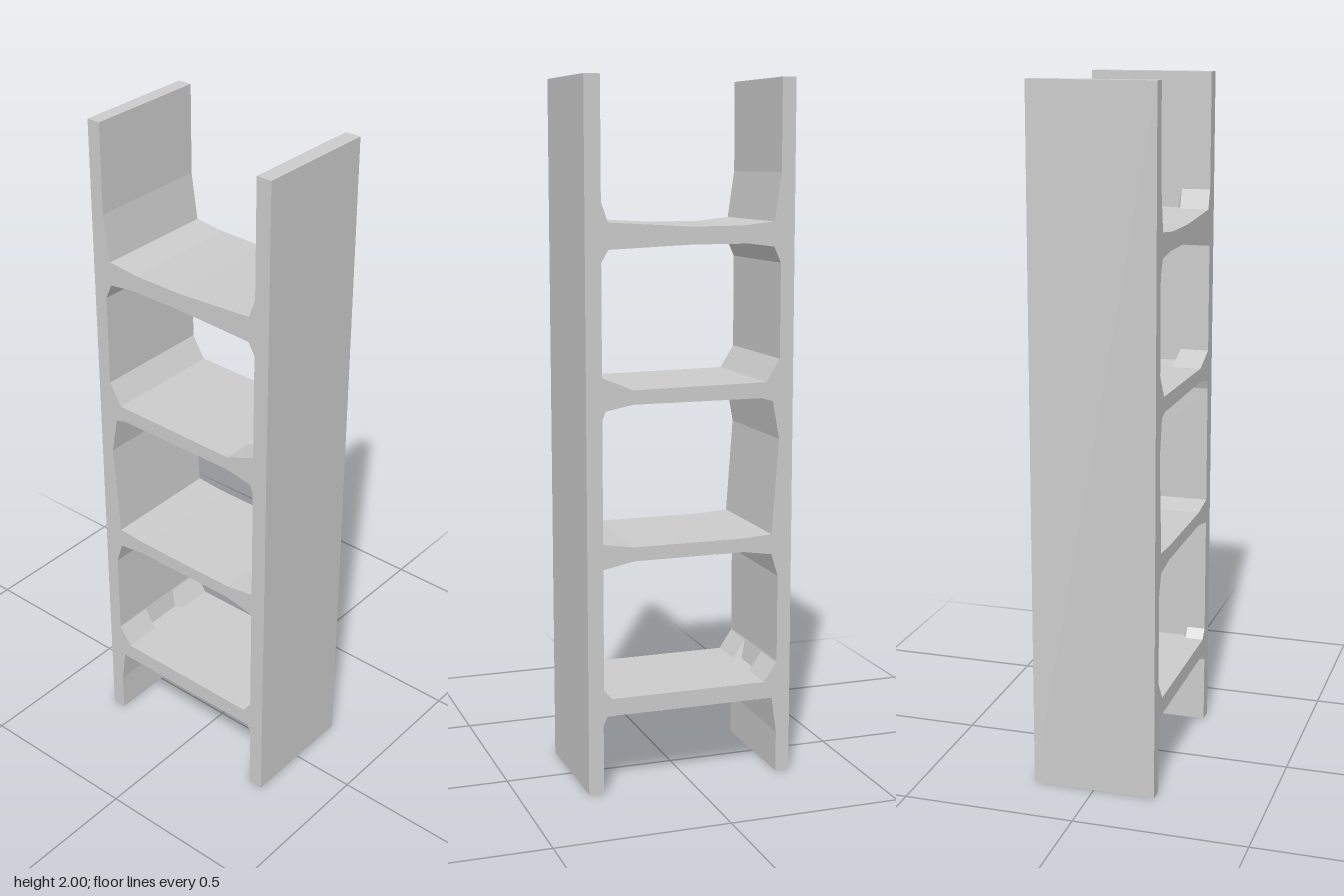
import * as THREE from 'three';
import { ConvexGeometry } from 'three/addons/geometries/ConvexGeometry.js';

const W = 0.306, D = 0.18;
const toPoints = (list) => list.map(([x, y]) => new THREE.Vector2(x, y));

export function createModel() {
  const group = new THREE.Group();
  const material = new THREE.MeshStandardMaterial({ color: 0xcccccc, flatShading: true });
  const add = (geometry, name) => {
    const mesh = new THREE.Mesh(geometry, material);
    mesh.name = name;
    group.add(mesh);
  };

  // Outline of both uprights, open above the top tread and below the bottom one
  const outline = new THREE.Shape(toPoints([
    [-W, 0], [-0.265, 0], [-0.265, 0.12], [-0.25, 0.225], [0.25, 0.225], [0.262, 0.2], [0.262, 0],
    [W, 0], [W, 2], [0.26, 2], [0.26, 1.61], [0.24, 1.608], [0, 1.594], [-0.15, 1.595],
    [-0.245, 1.605], [-0.265, 1.74], [-0.265, 2], [-W, 2],
  ]));

  // Openings between the treads, with uneven chamfered corners
  const openings = [
    [[-0.25, 0.275], [-0.265, 0.335], [-0.265, 0.59], [-0.245, 0.655], [-0.16, 0.668],
      [0.17, 0.668], [0.26, 0.65], [0.26, 0.275]],
    [[-0.245, 0.714], [-0.265, 0.99], [-0.245, 1.1], [-0.21, 1.11], [0.17, 1.11],
      [0.25, 1.095], [0.26, 1.07], [0.26, 0.722], [0.17, 0.708], [-0.15, 0.708]],
    [[-0.225, 1.155], [-0.265, 1.22], [-0.265, 1.49], [-0.245, 1.535], [-0.17, 1.545],
      [0, 1.545], [0.24, 1.535], [0.26, 1.5], [0.26, 1.152], [0.17, 1.15]],
  ];
  for (const opening of openings) outline.holes.push(new THREE.Path(toPoints(opening)));

  const frame = new THREE.ExtrudeGeometry(outline, { depth: 2 * D, bevelEnabled: false });
  frame.translate(0, 0, -D);
  add(frame, 'ladderFrame');

  // Corner gussets: a wedge at one edge that runs out to a point towards the middle
  const addGusset = (corner, along, up, side, inner, name) => {
    const points = [];
    for (const z of [D, inner + 0.015]) {
      for (const [x, y] of [corner, along, up]) points.push(new THREE.Vector3(x, y, side * z));
    }
    points.push(new THREE.Vector3(corner[0], corner[1], side * inner));
    add(new ConvexGeometry(points), name);
  };
  for (const side of [1, -1]) {
    addGusset([0.262, 1.605], [0.24, 1.605], [0.262, 1.67], side, 0.08, 'topTreadGusset');
    addGusset([0.262, 1.15], [0.17, 1.15], [0.262, 1.187], side, 0.08, 'middleTreadGusset');
    addGusset([0.262, 0.274], [0.235, 0.274], [0.262, 0.305], side, 0.11, 'bottomTreadGusset');
    addGusset([-0.267, 0.274], [-0.225, 0.274], [-0.267, 0.335], side, 0.05, 'bottomTreadGusset');
  }
  return group;
}
